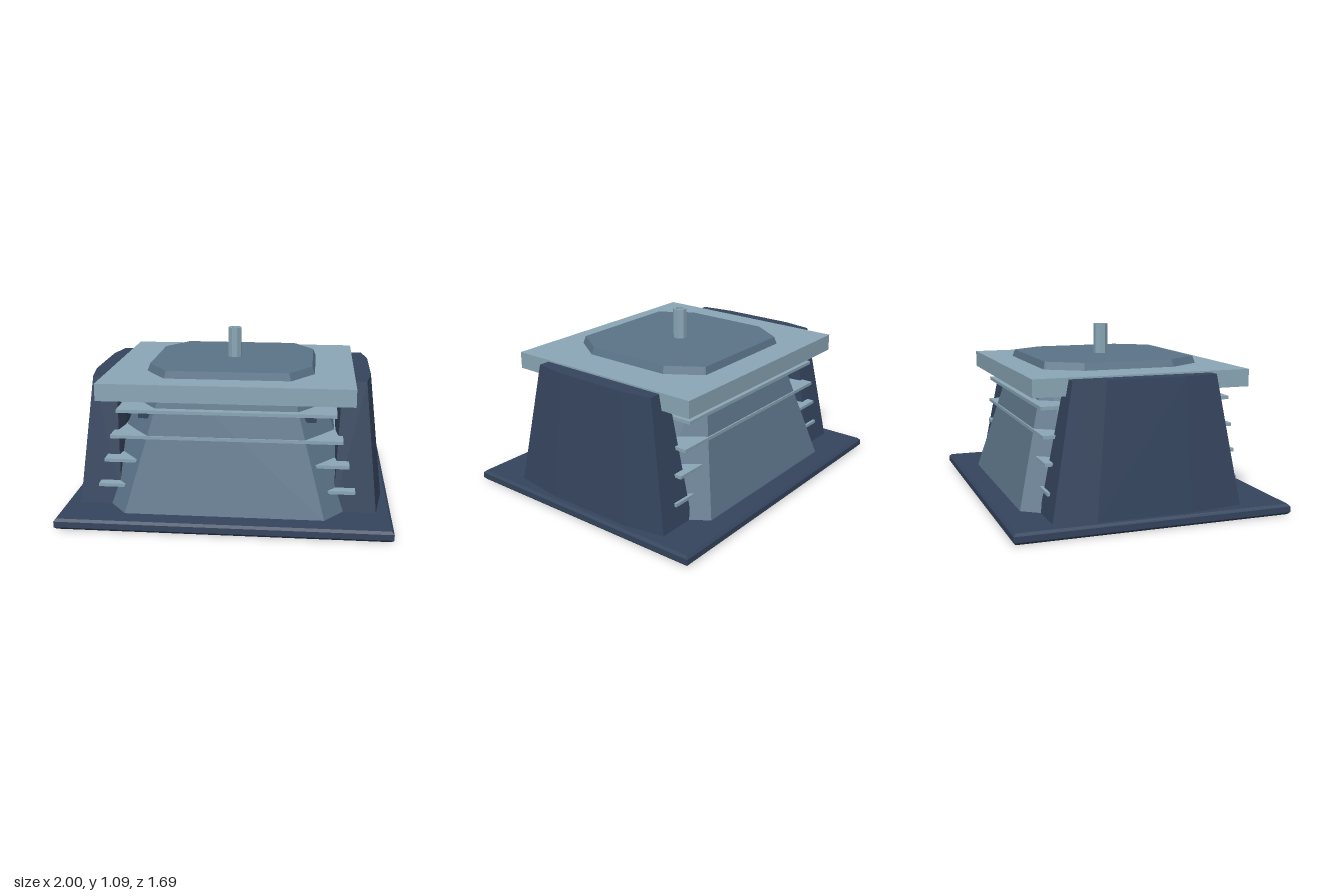
import * as THREE from 'three';
import { ConvexGeometry } from 'three/addons/geometries/ConvexGeometry.js';

const navy = new THREE.MeshStandardMaterial({ color: 0x34445d });
const slate = new THREE.MeshStandardMaterial({ color: 0x5b7488 });
const paleBlue = new THREE.MeshStandardMaterial({ color: 0x8aa6b6 });

export function createModel() {
  const group = new THREE.Group();

  const add = (name, geometry, material, x = 0, y = 0, z = 0) => {
    const mesh = new THREE.Mesh(geometry, material);
    mesh.name = name;
    mesh.position.set(x, y, z);
    group.add(mesh);
    return mesh;
  };

  // Flat-faced solid spanning horizontal rings, each { y, pts: [[x, z], ...] }
  const hull = (rings) => new ConvexGeometry(
    rings.flatMap(({ y, pts }) => pts.map(([x, z]) => new THREE.Vector3(x, y, z))));

  const rect = (hx, hz) => [[hx, hz], [-hx, hz], [-hx, -hz], [hx, -hz]];
  // Rectangle with cut corners: half sizes hx, hz; corners start at cx, cz
  const octagon = (hx, hz, cx, cz) => [...rect(hx, cz), ...rect(cx, hz)];

  // Base slab with bevelled edges
  add('base', hull([
    { y: 0, pts: rect(0.985, 0.83) },
    { y: 0.015, pts: rect(1, 0.845) },
    { y: 0.05, pts: rect(1, 0.845) },
    { y: 0.065, pts: rect(0.985, 0.83) },
  ]), navy);

  // Tapered eight-sided core rising through the roof plate
  add('core', hull([
    { y: 0.06, pts: octagon(0.82, 0.71, 0.6, 0.41) },
    { y: 0.9, pts: octagon(0.505, 0.485, 0.37, 0.28) },
  ]), slate);

  // Roof plate
  add('roofPlate', new THREE.BoxGeometry(1.53, 0.105, 1.34), paleBlue, 0, 0.8025, 0);

  // Thin fins passing through the core, wider towards the base
  [[0.2, 0.78], [0.36, 0.74], [0.51, 0.7], [0.67, 0.66]].forEach(([y, hx]) => {
    add('fin', new THREE.BoxGeometry(hx * 2, 0.02, 1.19), paleBlue, 0, y, 0);
  });

  // Side buttresses with bent outer faces, and small slots beside them
  for (const s of [1, -1]) {
    const ring = (y, pts) => ({ y, pts: pts.map(([x, z]) => [s * x, z]) });
    add(s > 0 ? 'leftButtress' : 'rightButtress', hull([
      ring(0.06, [[0.65, 0.555], [0.91, 0.555], [0.957, 0.22],
        [0.957, -0.36], [0.91, -0.605], [0.65, -0.605]]),
      ring(0.845, [[0.69, 0.42], [0.835, 0.42], [0.867, 0.21],
        [0.867, -0.27], [0.835, -0.46], [0.69, -0.46], [0.66, -0.25], [0.66, 0.21]]),
    ]), navy);
    add('slot', new THREE.BoxGeometry(0.1, 0.03, 0.015), navy, s * 0.49, 0.625, 0.513);
  }

  // Hollow eight-sided post
  const profile = [[0.045, 0.89], [0.045, 1.09], [0.026, 1.09], [0.026, 0.89]]
    .map(([r, y]) => new THREE.Vector2(r, y));
  const post = new THREE.LatheGeometry(profile, 8, Math.PI / 8).toNonIndexed();
  post.computeVertexNormals();
  add('post', post, paleBlue);

  return group;
}
